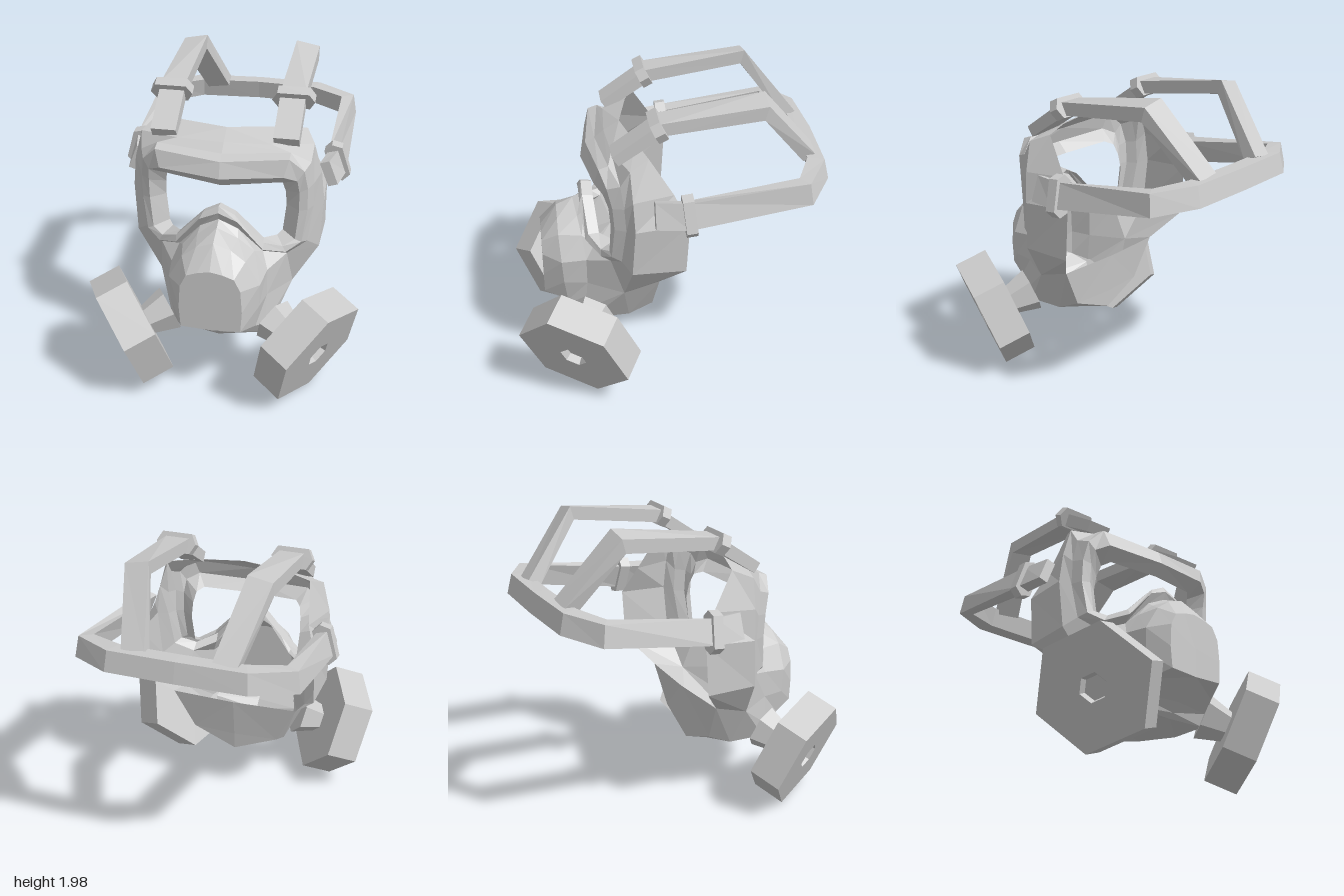
import * as THREE from 'three';

const V = (a) => new THREE.Vector3(...a);
const solidMat = new THREE.MeshStandardMaterial({ color: 0xcccccc, flatShading: true });
const shellMat = new THREE.MeshStandardMaterial({ color: 0xcccccc, flatShading: true, side: THREE.DoubleSide });

// Geometry from a flat list of corner triples
function fromTris(tris) {
  const geo = new THREE.BufferGeometry();
  geo.setAttribute('position', new THREE.Float32BufferAttribute(tris.flat(), 3));
  geo.computeVertexNormals();
  return geo;
}

// Quads between two rows of equal length
function strip(tris, a, b) {
  for (let i = 0; i < a.length - 1; i++) {
    tris.push(a[i], b[i], b[i + 1], a[i], b[i + 1], a[i + 1]);
  }
}

// Copy of a triangle list reflected in x
function reflect(tris) {
  const out = [];
  for (let i = 0; i < tris.length; i += 3) {
    for (const k of [0, 2, 1]) {
      const [x, y, z] = tris[i + k];
      out.push([-x, y, z]);
    }
  }
  return out;
}

function trisOf(geo) {
  const p = (geo.index ? geo.toNonIndexed() : geo).attributes.position;
  return Array.from({ length: p.count }, (_, i) => [p.getX(i), p.getY(i), p.getZ(i)]);
}

// Rectangular band through stations [centre, half width, half thickness]
function band(stations) {
  const rings = stations.map(([c, w, t]) =>
    [[1, 1], [-1, 1], [-1, -1], [1, -1], [1, 1]].map(([p, q]) => c.map((v, k) => v + p * w[k] + q * t[k])));
  const tris = [];
  for (let i = 0; i < rings.length - 1; i++) strip(tris, rings[i], rings[i + 1]);
  const s = rings[0], e = rings[rings.length - 1];
  tris.push(s[0], s[1], s[2], s[0], s[2], s[3], e[0], e[2], e[1], e[0], e[3], e[2]);
  // turn the faces outward
  let volume = 0;
  for (let i = 0; i < tris.length; i += 3) {
    volume += V(tris[i]).dot(V(tris[i + 1]).cross(V(tris[i + 2])));
  }
  if (volume < 0) {
    for (let i = 0; i < tris.length; i += 3) [tris[i + 1], tris[i + 2]] = [tris[i + 2], tris[i + 1]];
  }
  return tris;
}

// Chamfered buckle, its depth running along "along" and its width near "across"
function buckle(w, h, d, centre, across, along) {
  const c = 0.035, s = new THREE.Shape();
  const x = w / 2, y = h / 2;
  [[c - x, -y], [x - c, -y], [x, 0], [x - c, y], [c - x, y], [-x, 0]]
    .forEach((p, i) => (i ? s.lineTo(...p) : s.moveTo(...p)));
  const geo = new THREE.ExtrudeGeometry(s, { depth: d, bevelEnabled: false }).translate(0, 0, -d / 2);
  const Z = V(along).normalize();
  const Y = Z.clone().cross(V(across)).normalize();
  const X = Y.clone().cross(Z);
  geo.applyMatrix4(new THREE.Matrix4().makeBasis(X, Y, Z).setPosition(...centre));
  return trisOf(geo);
}

// Half of the face shell: outline, crease, window rim, muzzle and chin, each row from the top down
function faceShell() {
  const edge = [[0, 1.68, 0.28], [0.3, 1.68, 0.21], [0.49, 1.66, 0.15], [0.53, 1.42, 0], [0.6, 1.24, -0.09],
    [0.6, 0.9, -0.07], [0.44, 0.72, 0.08], [0.3, 0.45, 0.11], [0, 0.33, 0.1]];
  const crease = [[0, 1.62, 0.38], [0.3, 1.62, 0.36], [0.55, 1.61, 0.27], [0.6, 1.42, 0.26], [0.62, 1.22, 0.25],
    [0.6, 0.9, 0.27], [0.44, 0.65, 0.31], [0.31, 0.38, 0.27], [0, 0.28, 0.27]];
  const rimOuter = [[0, 1.57, 0.44], [0.42, 1.59, 0.39], [0.54, 1.51, 0.33], [0.56, 1.36, 0.31], [0.56, 1.2, 0.3],
    [0.53, 0.96, 0.33], [0.41, 0.89, 0.39], [0.27, 0.94, 0.48], [0.12, 1.11, 0.53], [0, 1.17, 0.54]];
  const rimFront = [[0, 1.54, 0.5], [0.42, 1.57, 0.45], [0.51, 1.48, 0.41], [0.53, 1.35, 0.38], [0.53, 1.2, 0.37],
    [0.5, 0.98, 0.39], [0.41, 0.93, 0.45], [0.28, 0.98, 0.54], [0.12, 1.17, 0.56], [0, 1.22, 0.56]];
  const rimInner = [[0, 1.44, 0.535], [0.39, 1.46, 0.48], [0.47, 1.42, 0.43], [0.48, 1.33, 0.4], [0.48, 1.2, 0.39],
    [0.46, 1, 0.4], [0.39, 0.97, 0.45], [0.28, 1.02, 0.52], [0.1, 1.21, 0.54], [0, 1.26, 0.54]];
  const rimBack = [[0, 1.37, 0.47], [0.33, 1.39, 0.41], [0.37, 1.37, 0.36], [0.385, 1.3, 0.33], [0.39, 1.2, 0.31],
    [0.37, 1.02, 0.32], [0.34, 1, 0.36], [0.27, 1.02, 0.45], [0.1, 1.2, 0.47], [0, 1.25, 0.47]];
  const chin = [[0.31, 0.37, 0.53], [0, 0.34, 0.57]];
  const muzzleBase = [[0, 1.14, 0.6], [0.13, 1.07, 0.58], [0.23, 0.98, 0.56], [0.31, 0.84, 0.54],
    [0.31, 0.66, 0.54], [0.31, 0.45, 0.56], [0, 0.37, 0.6]];
  const muzzle = [[0, 1.09, 0.71], [0.11, 1.05, 0.71], [0.2, 0.98, 0.71], [0.29, 0.82, 0.7], [0.285, 0.66, 0.69],
    [0.26, 0.5, 0.67], [0, 0.42, 0.66]];
  const plate = [[0, 0.95, 0.82], [0.08, 0.935, 0.82], [0.15, 0.91, 0.82], [0.19, 0.83, 0.82], [0.2, 0.68, 0.82],
    [0.19, 0.54, 0.82], [0, 0.53, 0.82]];
  const wallMiddle = [[0, 0.72, 0.06], [0, 0.45, 0.09], [0, 0.33, 0.1]];

  const tris = [];
  strip(tris, edge, crease);
  strip(tris, wallMiddle, edge.slice(6));
  strip(tris, crease.slice(0, 7), rimOuter.slice(0, 7));
  strip(tris, rimOuter, rimFront);
  strip(tris, rimFront, rimInner);
  strip(tris, rimInner, rimBack);
  strip(tris, crease.slice(6), [crease[6], ...chin]);
  strip(tris, [...rimOuter.slice(6).reverse(), crease[6], ...chin], muzzleBase);
  strip(tris, muzzleBase, muzzle);
  strip(tris, muzzle, plate);
  strip(tris, plate, plate.map(() => [0, 0.72, 0.82]));
  return tris;
}

// Filter parts: local y points out of the mask, the origin is the middle of the outer face
function placeFilter(geo) {
  const Y = V([0.795, -0.37, 0.47]).normalize();
  const Z = V([0.245, 0.25, -0.18]);
  Z.addScaledVector(Y, -Z.dot(Y)).normalize();
  const X = Y.clone().cross(Z);
  return trisOf(geo.applyMatrix4(new THREE.Matrix4().makeBasis(X, Y, Z).setPosition(0.665, 0.335, 0.67)));
}

export function createModel() {
  const group = new THREE.Group();
  group.name = 'gasMask';
  const add = (name, tris, mat = solidMat) => {
    const mesh = new THREE.Mesh(fromTris(tris), mat);
    mesh.name = name;
    group.add(mesh);
  };
  const addPair = (name, tris) => {
    add(name + 'Left', tris);
    add(name + 'Right', reflect(tris));
  };

  const half = faceShell();
  add('faceShell', [...half, ...reflect(half)], shellMat);

  // Hexagonal canisters with a recessed socket, and their flared necks
  const profile = [[0, -0.22], [0.383, -0.22], [0.383, 0], [0.09, 0], [0.075, -0.05], [0, -0.05]]
    .map((p) => new THREE.Vector2(...p));
  addPair('filter', placeFilter(new THREE.LatheGeometry(profile, 6)));
  addPair('filterNeck', placeFilter(new THREE.CylinderGeometry(0.1, 0.15, 0.17, 6).translate(0, -0.3, -0.03)));

  // Straps over the head
  addPair('topStrap', band([
    [[0.385, 1.64, 0.35], [0.08, 0, 0], [0, 0.03, 0.02]],
    [[0.385, 1.835, 0.06], [0.08, 0, 0], [0, 0.04, 0.015]],
    [[0.385, 1.915, -0.57], [0.078, -0.015, 0], [0, 0.045, -0.012]],
    [[0.285, 1.53, -0.88], [0.075, -0.01, 0], [0, 0.02, -0.04]],
  ]));
  addPair('topBuckle', buckle(0.27, 0.13, 0.065, [0.39, 1.83, 0.085], [1, 0, 0], [0, -0.45, 0.89]));

  // Strap around the back of the head
  const side = [
    [[0.63, 1.345, 0.13], [-0.03, 0.078, 0], [0.03, 0.01, 0]],
    [[0.665, 1.35, -0.07], [-0.025, 0.08, 0], [0.035, 0.01, 0]],
    [[0.66, 1.46, -0.79], [-0.01, 0.068, 0.01], [0.04, 0, -0.025]],
    [[0.42, 1.48, -0.92], [-0.005, 0.065, 0.015], [0.02, 0, -0.05]],
  ];
  const flipX = ([x, y, z]) => [-x, y, z];
  add('backStrap', band([...side, [[0, 1.485, -0.935], [0, 0.065, 0.015], [0, 0, -0.05]],
    ...side.map((s) => s.map(flipX)).reverse()]));
  addPair('sideBuckle', buckle(0.27, 0.12, 0.07, [0.665, 1.35, -0.075], [0.28, -0.96, 0], [0, -0.1, 1]));
  return group;
}
